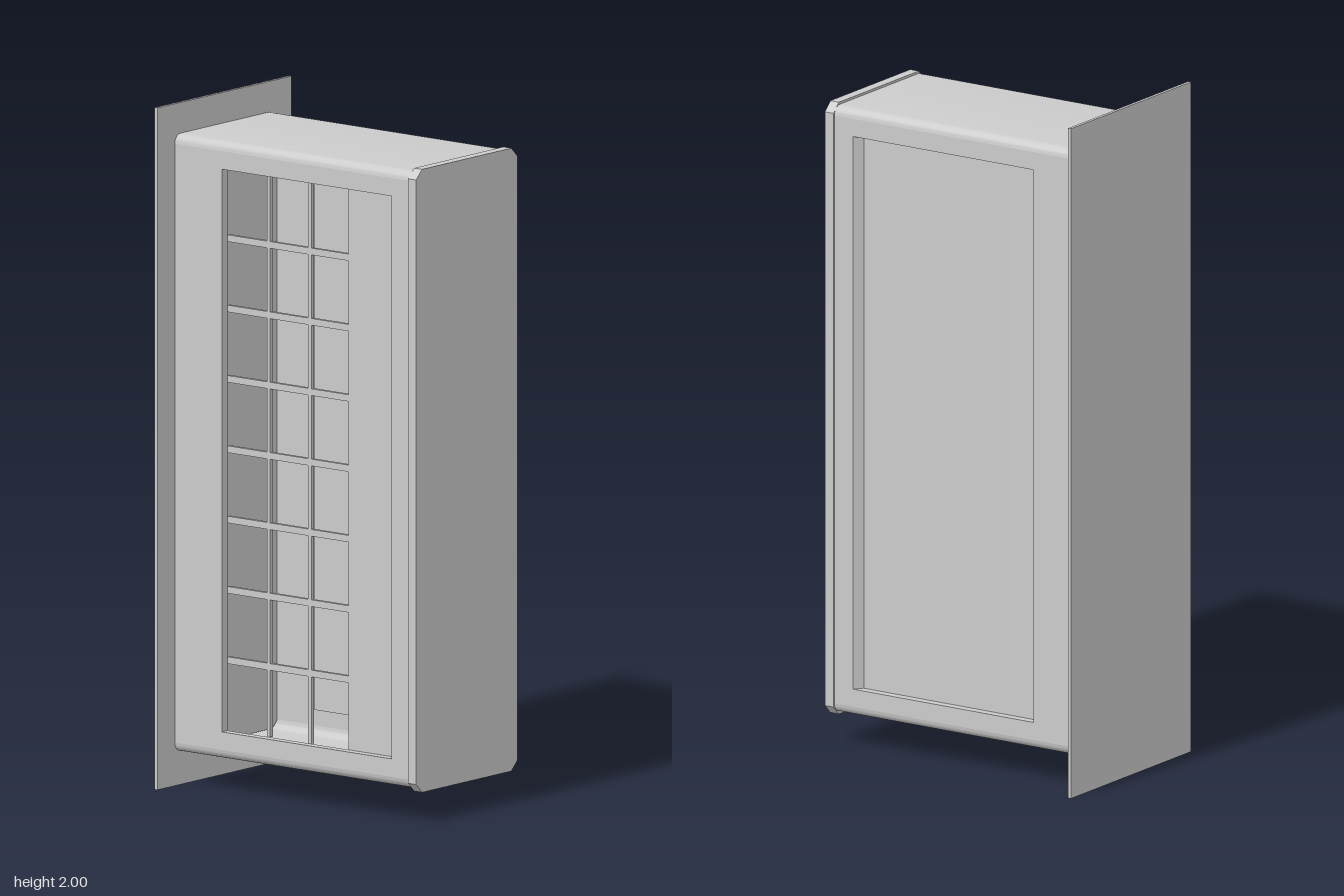
import * as THREE from 'three';
import { toCreasedNormals } from 'three/addons/utils/BufferGeometryUtils.js';

const solid = new THREE.MeshStandardMaterial({ color: 0xcccccc });
const thin = new THREE.MeshStandardMaterial({ color: 0xcccccc, side: THREE.DoubleSide });

const HALF_W = 0.226, BOTTOM = 0.1, TOP = 1.91, RADIUS = 0.027;
const BACK = -0.45, FRONT = 0.43;
const RECESS_X = 0.2; // depth at which the panels sit
const WIN = { z0: -0.27, z1: 0.34, y0: 0.18, y1: 1.83 };
const SLANT = 0.02;   // the front jamb of each recess is slanted

function add(parent, name, geometry, material = solid) {
  const mesh = new THREE.Mesh(geometry, material);
  mesh.name = name;
  parent.add(mesh);
  return mesh;
}

function addBox(parent, name, w, h, d, x, y, z) {
  add(parent, name, new THREE.BoxGeometry(w, h, d)).position.set(x, y, z);
}

// Sheet joining two rows of points
function strip(rowA, rowB) {
  const n = rowA.length, index = [];
  for (let i = 0; i < n - 1; i++) index.push(i, i + 1, n + i, i + 1, n + i + 1, n + i);
  const g = new THREE.BufferGeometry().setFromPoints([...rowA, ...rowB]);
  g.setIndex(index);
  return toCreasedNormals(g, 0.4);
}

// Roof or floor with rounded long edges
function roundedSheet(yFlat, dir) {
  const rows = [BACK, FRONT].map((z) => {
    const row = [];
    for (const s of [-1, 1]) {
      for (let i = 0; i <= 6; i++) {
        const a = ((s < 0 ? i : 6 - i) / 6) * Math.PI / 2;
        row.push(new THREE.Vector3(
          s * (HALF_W - RADIUS + RADIUS * Math.cos(a)),
          yFlat - dir * RADIUS * (1 - Math.sin(a)), z));
      }
    }
    return row;
  });
  return strip(rows[0], rows[1]);
}

// Upright slab with cut corners
function cutCornerSlab(hw, y0, y1, cut, depth) {
  const s = new THREE.Shape([
    [-hw + cut, y0], [hw - cut, y0], [hw, y0 + cut], [hw, y1 - cut],
    [hw - cut, y1], [-hw + cut, y1], [-hw, y1 - cut], [-hw, y0 + cut],
  ].map(([x, y]) => new THREE.Vector2(x, y)));
  return new THREE.ExtrudeGeometry(s, { depth, bevelEnabled: false });
}

function rect(Type, z0, z1, y0, y1) {
  return new Type([[-z1, y0], [-z0, y0], [-z0, y1], [-z1, y1]]
    .map(([u, v]) => new THREE.Vector2(u, v)));
}

// Side wall with a recessed opening, modelled on +x
function sideWall(name) {
  const wall = new THREE.Group();
  wall.name = name;
  const { z0, z1, y0, y1 } = WIN;
  const frame = rect(THREE.Shape, BACK, FRONT, BOTTOM + RADIUS, TOP - RADIUS);
  frame.holes.push(rect(THREE.Path, z0, z1 + SLANT, y0, y1));
  add(wall, 'sideFrame', new THREE.ShapeGeometry(frame).rotateY(Math.PI / 2), thin).position.x = HALF_W;
  const loop = (x, zFront) => [[z0, y0], [zFront, y0], [zFront, y1], [z0, y1], [z0, y0]]
    .map(([z, y]) => new THREE.Vector3(x, y, z));
  add(wall, 'recessJamb', strip(loop(HALF_W, z1 + SLANT), loop(RECESS_X, z1)), thin);
  return wall;
}

export function createModel() {
  const model = new THREE.Group();
  model.name = 'cabinet';

  // Shell
  add(model, 'roof', roundedSheet(TOP, 1), thin);
  add(model, 'floor', roundedSheet(BOTTOM, -1), thin);
  add(model, 'frontCap', cutCornerSlab(0.23, 0.09, 1.917, 0.027, 0.03)).position.z = 0.425;
  add(model, 'backFlange', cutCornerSlab(0.222, 0.104, 1.906, 0.02, 0.02)).position.z = -0.452;
  addBox(model, 'backPlate', 0.61, 2, 0.01, 0, 1, -0.45);

  const { z0, z1, y0, y1 } = WIN;
  const midY = (y0 + y1) / 2, height = y1 - y0;
  const colW = (z1 - z0) / 4, rowH = height / 8;

  // Closed side
  const left = sideWall('closedSide');
  addBox(left, 'recessPanel', 0.004, height, z1 - z0, RECESS_X - 0.002, midY, (z0 + z1) / 2);
  model.add(left);

  // Open side: lattice over three columns, solid panel in the fourth
  const right = sideWall('windowSide');
  const panelZ = z0 + 3 * colW - 0.008;
  addBox(right, 'controlPanel', 0.008, height, z1 - panelZ, RECESS_X - 0.004, midY, (z1 + panelZ) / 2);
  for (let i = 1; i < 8; i++) {
    addBox(right, 'crossBar', 0.012, 0.02, panelZ - z0, RECESS_X - 0.006, y0 + i * rowH, (z0 + panelZ) / 2);
  }
  for (let i = 1; i < 3; i++) {
    addBox(right, 'uprightBar', 0.012, height, 0.012, RECESS_X - 0.006, midY, z0 + i * colW);
  }
  right.scale.x = -1;
  model.add(right);

  return model;
}
